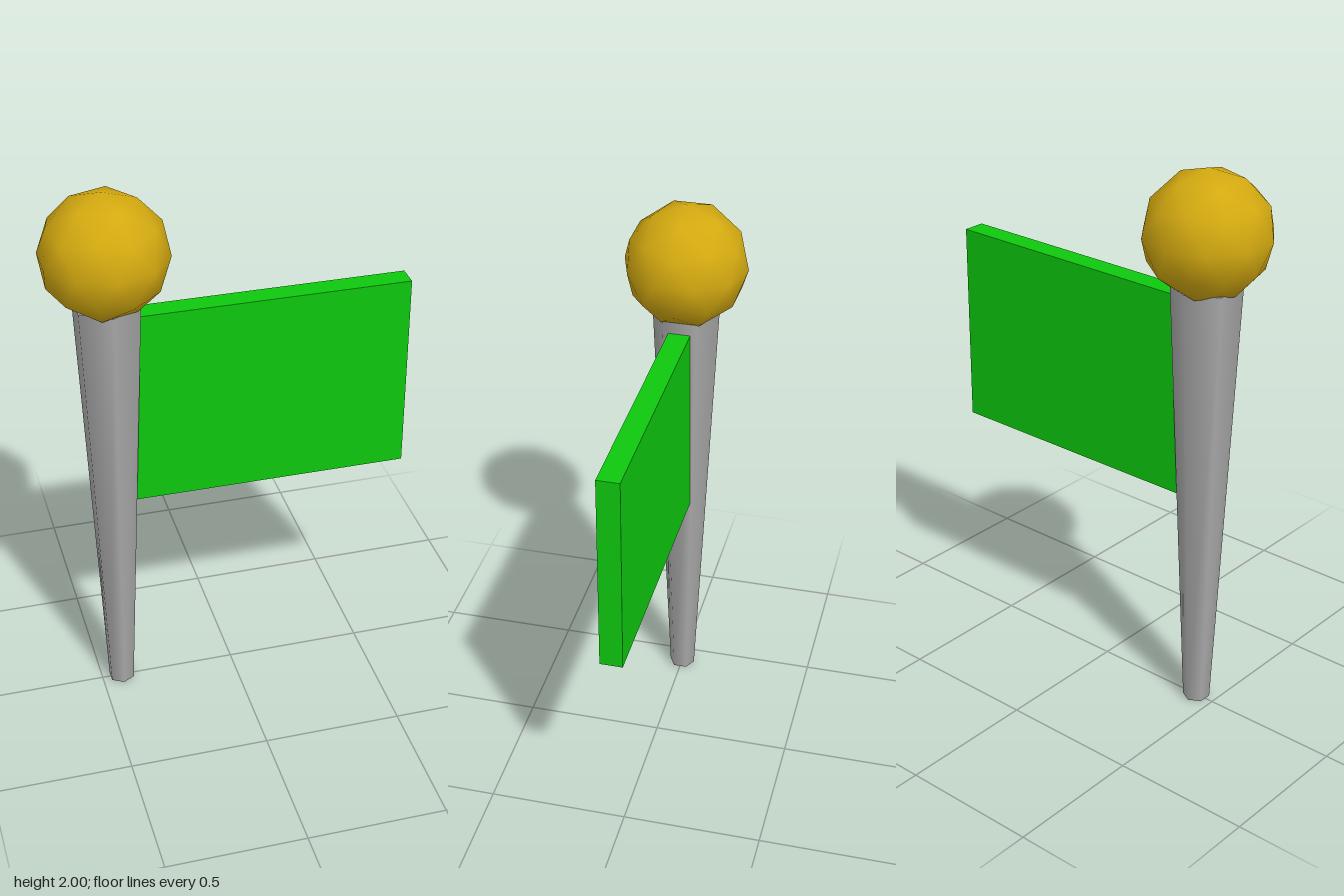
import * as THREE from 'three';

const material = (name, color) => {
  const m = new THREE.MeshStandardMaterial({ color });
  m.name = name;
  return m;
};

export function createModel() {
  const group = new THREE.Group();
  group.name = 'flagpole';
  const poleX = -0.427;

  const add = (name, geometry, mat, x, y) => {
    const mesh = new THREE.Mesh(geometry, mat);
    mesh.name = name;
    mesh.position.set(x, y, 0);
    group.add(mesh);
  };

  // Six-sided pole, wider towards the top
  add('pole', new THREE.CylinderGeometry(0.122, 0.048, 1.602, 6), material('grey metal', 0xa8a8a8), poleX, 0.801);

  // Low-poly smooth ball, turned so that one corner points straight up
  const ball = new THREE.IcosahedronGeometry(0.222, 1);
  ball.rotateZ(-Math.atan(2 / (1 + Math.sqrt(5))));
  add('ball', ball, material('gold', 0xd4aa10), poleX, 1.778);

  // Flag panel, its inner edge buried in the pole
  const inner = -0.4, outer = 0.637, bottom = 0.82, top = 1.552;
  add('flag', new THREE.BoxGeometry(outer - inner, top - bottom, 0.08), material('green', 0x0ec80e),
    (inner + outer) / 2, (bottom + top) / 2);

  return group;
}
